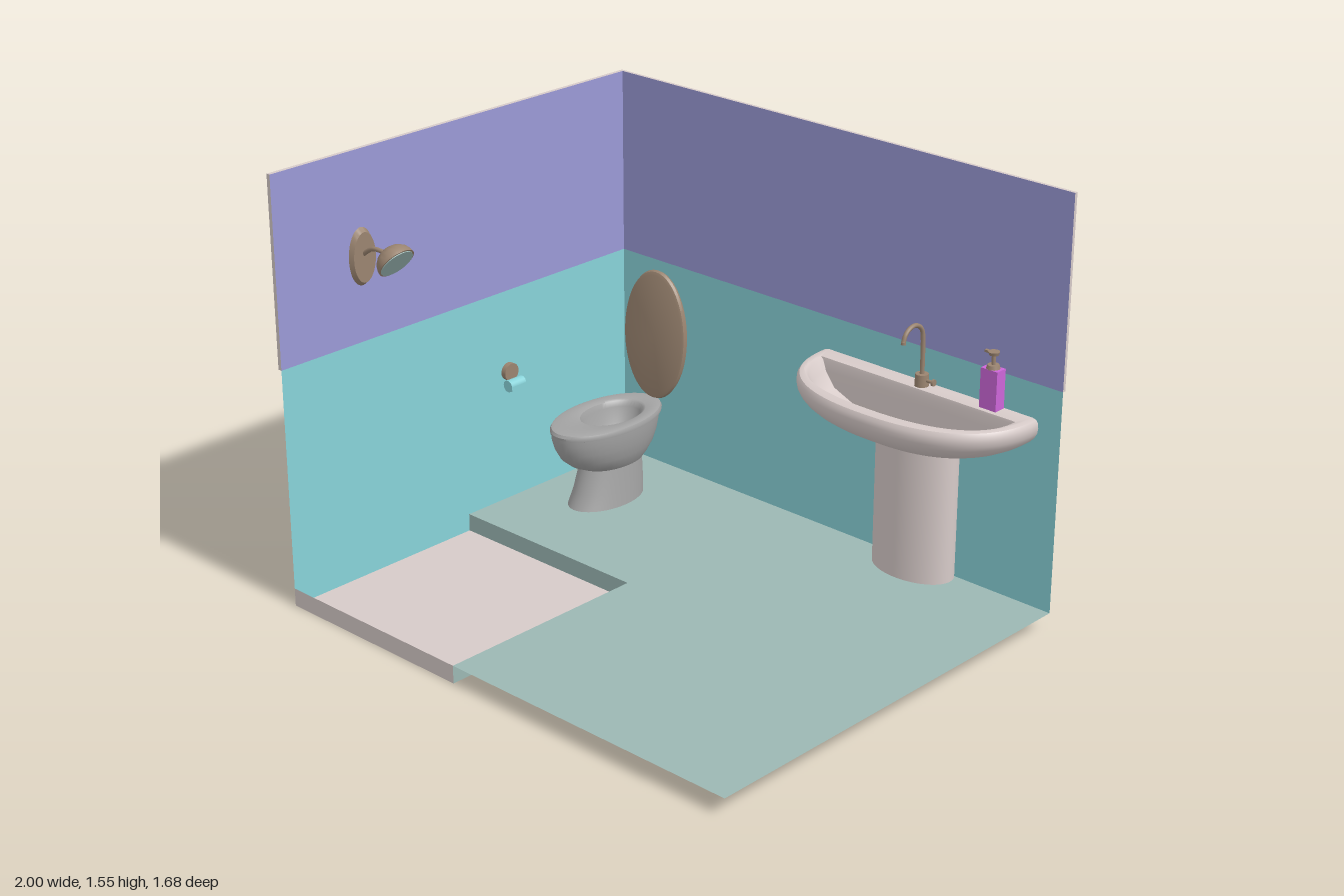
import * as THREE from 'three';
import { toCreasedNormals } from 'three/addons/utils/BufferGeometryUtils.js';

const mat = (name, color, side = THREE.FrontSide) => {
  const m = new THREE.MeshStandardMaterial({ color, side });
  m.name = name;
  return m;
};

export function createModel() {
  const purple = mat('purple wall', 0x9a99d6);
  const teal = mat('teal tile', 0x88d2d8, THREE.DoubleSide);
  const floorMat = mat('grey green floor', 0x9bb7b3, THREE.DoubleSide);
  const cream = mat('pinkish ceramic', 0xd6cac8, THREE.DoubleSide);
  const grey = mat('grey ceramic', 0xa3a3a3, THREE.DoubleSide);
  const bronze = mat('bronze', 0x9a8470);
  const magenta = mat('magenta plastic', 0xcc66d8);

  const root = new THREE.Group();
  root.name = 'bathroom';
  const group = (name, parent = root) => {
    const g = new THREE.Group();
    g.name = name;
    parent.add(g);
    return g;
  };
  const add = (parent, name, geo, material, x = 0, y = 0, z = 0) => {
    const m = new THREE.Mesh(geo, material);
    m.name = name;
    m.position.set(x, y, z);
    parent.add(m);
    return m;
  };
  const box = (w, h, d) => new THREE.BoxGeometry(w, h, d);
  const cyl = (r1, r2, h, n = 24) => new THREE.CylinderGeometry(r1, r2, h, n);
  const tube = (pts, r) => new THREE.TubeGeometry(
    new THREE.CatmullRomCurve3(pts.map(p => new THREE.Vector3(...p))), 32, r, 10);

  // Skin over closed loops, listed from the bottom outside upward and inward
  const loft = (loops, crease = 0.7) => {
    const n = loops[0].length, pos = loops.flat(2), idx = [];
    for (let i = 0; i + 1 < loops.length; i++)
      for (let j = 0; j < n; j++) {
        const k = (j + 1) % n, a = i * n, b = a + n;
        idx.push(a + j, b + j, a + k, a + k, b + j, b + k);
      }
    const g = new THREE.BufferGeometry();
    g.setAttribute('position', new THREE.Float32BufferAttribute(pos, 3));
    g.setIndex(idx);
    return toCreasedNormals(g, crease);
  };
  const ellipse = (cx, [rx, rz, cz, y]) => Array.from({ length: 48 }, (_, j) => {
    const t = j / 48 * Math.PI * 2;
    return [cx + rx * Math.cos(t), y, cz + rz * Math.sin(t)];
  });

  // Floor with a corner cut out for the sunken shower tray
  const room = group('room');
  const F = 0.065, L = -0.985, TX = -0.187, TZ = 0.03, FZ = 0.84, BZ = -0.78;
  const shape = new THREE.Shape([[L, BZ], [1, BZ], [1, FZ], [TX, FZ], [TX, TZ], [L, TZ]]
    .map(([x, z]) => new THREE.Vector2(x, -z)));
  add(room, 'floor', new THREE.ShapeGeometry(shape).rotateX(-Math.PI / 2), floorMat, 0, F, 0);
  const tray = group('showerTray', room);
  const tw = TX - L, td = FZ - TZ, tx = (TX + L) / 2, tz = (FZ + TZ) / 2;
  add(tray, 'trayBottom', new THREE.PlaneGeometry(tw, td).rotateX(-Math.PI / 2), cream, tx, 0, tz);
  add(tray, 'trayFront', new THREE.PlaneGeometry(tw, F), cream, tx, F / 2, FZ);
  add(tray, 'trayBackStep', new THREE.PlaneGeometry(tw, F), floorMat, tx, F / 2, TZ);
  add(tray, 'traySideStep', new THREE.PlaneGeometry(td, F).rotateY(-Math.PI / 2), floorMat, TX, F / 2, tz);
  add(tray, 'trayWallSide', new THREE.PlaneGeometry(td, F).rotateY(Math.PI / 2), teal, L, F / 2, tz);

  // Thin tiled lower walls, thicker painted upper walls with plain edges
  const H = 0.87, T = 1.55, lm = (H + F) / 2, um = (H + T) / 2;
  add(room, 'backTiles', new THREE.PlaneGeometry(1 - L, H - F), teal, (1 + L) / 2, lm, BZ);
  add(room, 'sideTiles', new THREE.PlaneGeometry(FZ - BZ, H - F).rotateY(Math.PI / 2), teal, L, lm, (FZ + BZ) / 2);
  add(room, 'backUpperWall', box(2, T - H, 0.012),
    [cream, purple, cream, cream, purple, purple], 0, um, BZ - 0.006);
  add(room, 'sideUpperWall', box(0.015, T - H, FZ - BZ),
    [purple, purple, cream, cream, cream, cream], L - 0.0075, um, (FZ + BZ) / 2);

  // Toilet
  const toilet = group('toilet'), tcx = -0.735;
  const oval = rows => loft(rows.map(r => ellipse(tcx, r)));
  add(toilet, 'toiletFoot', oval([
    [0, 0, -0.418, 0.058], [0.105, 0.168, -0.418, 0.058], [0.098, 0.152, -0.434, 0.12],
    [0.09, 0.134, -0.448, 0.215]]), grey);
  add(toilet, 'toiletBowl', oval([
    [0, 0, -0.45, 0.203], [0.088, 0.137, -0.452, 0.205], [0.106, 0.175, -0.437, 0.23],
    [0.121, 0.209, -0.429, 0.265], [0.131, 0.229, -0.425, 0.305], [0.137, 0.24, -0.423, 0.345],
    [0.138, 0.242, -0.423, 0.368]]), grey);
  add(toilet, 'toiletSeat', oval([
    [0.134, 0.236, -0.425, 0.364], [0.141, 0.249, -0.427, 0.368], [0.142, 0.251, -0.427, 0.378],
    [0.138, 0.245, -0.427, 0.388], [0.13, 0.234, -0.428, 0.391], [0.1, 0.148, -0.452, 0.39],
    [0.09, 0.136, -0.455, 0.385], [0.082, 0.128, -0.455, 0.365], [0.075, 0.115, -0.455, 0.31],
    [0.05, 0.08, -0.455, 0.265], [0, 0, -0.455, 0.25]]), grey);
  const lidProfile = [[0, -0.014], [0.93, -0.014], [0.98, -0.01], [1, 0], [0.98, 0.01], [0.9, 0.015], [0, 0.021]]
    .map(p => new THREE.Vector2(...p));
  const lid = add(toilet, 'toiletLid', toCreasedNormals(
    new THREE.LatheGeometry(lidProfile, 48).scale(0.142, 1, 0.247).rotateX(-Math.PI / 2), 0.6),
    bronze, -0.72, 0.633, -0.672);
  lid.rotation.set(-0.04, 0.06, 0);

  // Washbasin: half-oval outline with a straight back
  const sink = group('washbasin'), scx = 0.45;
  const dLoop = ([a, b, back, y]) => Array.from({ length: 49 }, (_, j) => {
    const t = j / 48 * Math.PI, c = Math.cos(t), s = Math.sin(t), e = 0.84;
    return [scx + a * Math.sign(c) * Math.abs(c) ** e, y, back + b * Math.max(s, 0) ** e];
  });
  const rows = [[0, 0, -0.778, 0.568]];
  for (let i = 0; i <= 10; i++) {
    const p = 0.38 + (Math.PI / 2 - 0.38) * i / 10;
    rows.push([0.4625 * Math.sin(p), 0.36 * Math.sin(p), -0.778, 0.715 - 0.155 * Math.cos(p)]);
  }
  rows.push([0.461, 0.358, -0.778, 0.732], [0.453, 0.351, -0.778, 0.744], [0.438, 0.338, -0.778, 0.748],
    [0.417, 0.247, -0.712, 0.747], [0.405, 0.237, -0.71, 0.738], [0.39, 0.225, -0.708, 0.7],
    [0.35, 0.2, -0.706, 0.65], [0.25, 0.14, -0.704, 0.61], [0, 0, -0.704, 0.592]);
  add(sink, 'basin', loft(rows.map(dLoop), 0.6), cream);
  add(sink, 'pedestal', cyl(1, 1, 0.555, 48).scale(0.163, 1, 0.103), cream, scx, 0.3225, -0.735);

  // Tap
  const tap = group('tap', sink);
  add(tap, 'tapBody', cyl(0.023, 0.025, 0.045), bronze, scx, 0.768, -0.745);
  const arc = [[scx, 0.78, -0.745], [scx, 0.86, -0.745], [scx, 0.92, -0.743]];
  for (let i = 1; i <= 6; i++) {
    const t = i / 6 * Math.PI * 0.95;
    arc.push([scx, 0.925 + 0.053 * Math.sin(t), -0.69 - 0.053 * Math.cos(t)]);
  }
  add(tap, 'tapSpout', tube(arc, 0.008), bronze);
  add(tap, 'spoutTip', cyl(0.009, 0.009, 0.01), bronze, scx, 0.931, -0.638);
  add(tap, 'tapLever', cyl(0.006, 0.006, 0.03, 12).rotateZ(Math.PI / 2), bronze, 0.485, 0.77, -0.745);
  add(tap, 'tapKnob', cyl(0.012, 0.012, 0.008, 16).rotateZ(Math.PI / 2), bronze, 0.5, 0.77, -0.745);

  // Soap dispenser
  const soap = group('soapDispenser');
  add(soap, 'soapBottle', box(0.068, 0.142, 0.046), magenta, 0.739, 0.819, -0.751);
  add(soap, 'soapCollar', cyl(0.02, 0.024, 0.014), bronze, 0.739, 0.896, -0.751);
  add(soap, 'soapStem', cyl(0.007, 0.007, 0.04, 12), bronze, 0.739, 0.922, -0.751);
  add(soap, 'soapPump', cyl(0.02, 0.016, 0.012), bronze, 0.739, 0.943, -0.751);
  add(soap, 'soapNozzle', box(0.035, 0.008, 0.012), bronze, 0.722, 0.944, -0.751);

  // Shower head on a bent arm
  const shower = group('shower'), sz = 0.475;
  add(shower, 'showerPlate', cyl(0.85, 1, 0.02, 40).scale(0.056, 1, 0.105)
    .rotateX(Math.PI / 2).rotateY(Math.PI / 2).rotateX(0), bronze, -0.977, 1.175, sz)
    .geometry = toCreasedNormals(cyl(0.85, 1, 0.02, 40).rotateZ(-Math.PI / 2).scale(1, 0.105, 0.056), 0.6);
  add(shower, 'showerArm', tube([[-0.98, 1.18, sz], [-0.955, 1.2, sz], [-0.92, 1.217, sz], [-0.83, 1.215, sz]], 0.008), bronze);
  const head = group('showerHead', shower);
  head.position.set(-0.807, 1.195, sz);
  head.rotation.z = -Math.PI / 2 - 0.656;
  const dome = [[0.06, 0], [0.068, 0], [0.067, -0.012], [0.06, -0.03], [0.045, -0.046], [0.025, -0.056], [0, -0.059]]
    .reverse().map(p => new THREE.Vector2(...p));
  add(head, 'showerDome', toCreasedNormals(new THREE.LatheGeometry(dome, 36), 0.7), bronze);
  add(head, 'showerFace', cyl(0.062, 0.062, 0.006, 36), floorMat);

  // Paper roll holder with a hanging torn sheet
  const paper = group('paperHolder');
  add(paper, 'holderDisc', cyl(0.033, 0.033, 0.034).rotateZ(Math.PI / 2), bronze, -0.982, 0.563, -0.18);
  add(paper, 'paperRoll', cyl(0.022, 0.022, 0.07).rotateX(Math.PI / 2), teal, -0.945, 0.525, -0.175);
  const torn = new THREE.Shape([[-0.035, 0.04], [-0.035, -0.008], [-0.024, -0.014], [-0.012, -0.006], [0, -0.013],
    [0.012, -0.007], [0.024, -0.014], [0.035, -0.005], [0.035, 0.04]].map(p => new THREE.Vector2(...p)));
  add(paper, 'paperSheet', new THREE.ShapeGeometry(torn).rotateY(Math.PI / 2), teal, -0.923, 0.488, -0.175);

  return root;
}
